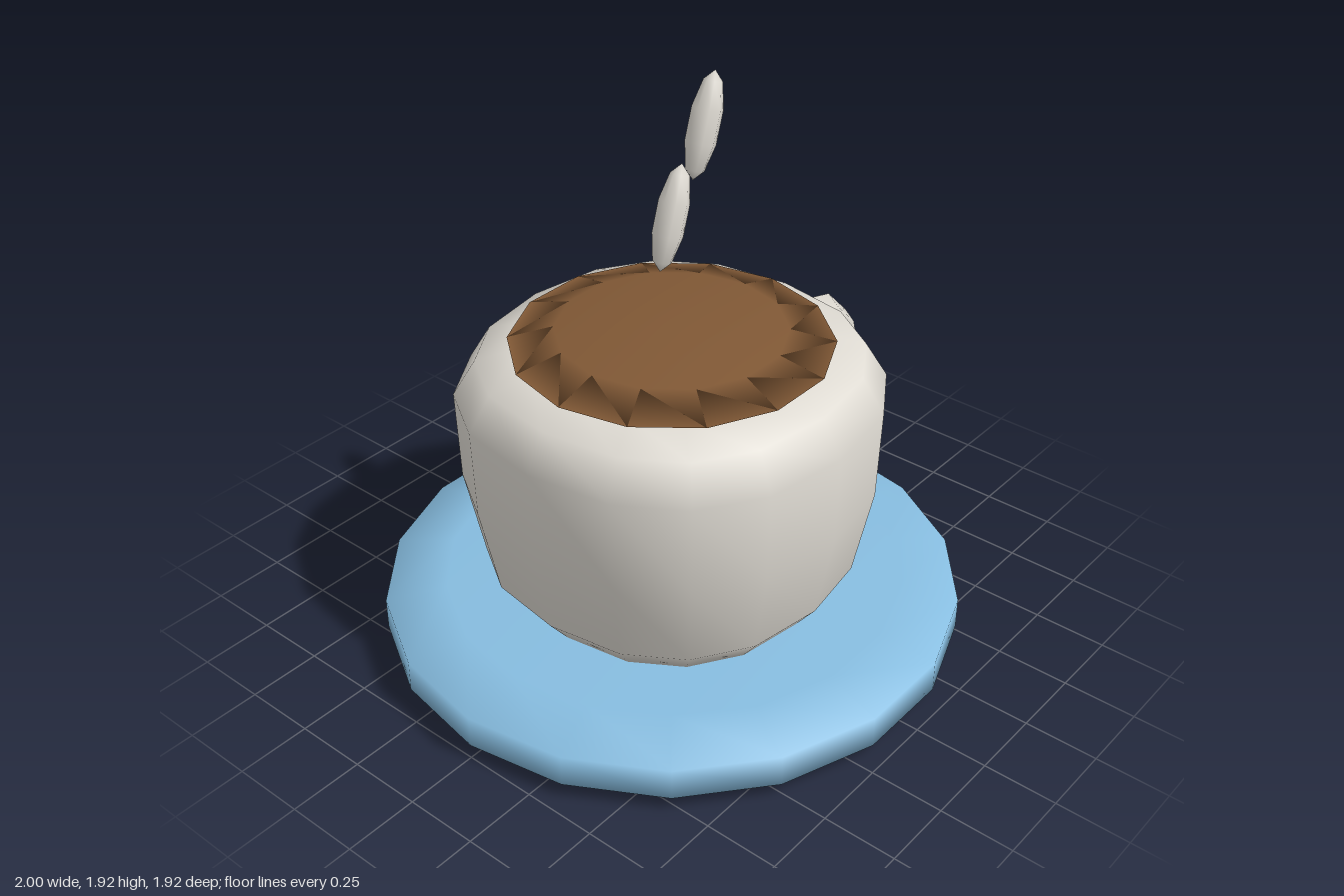
import * as THREE from 'three';
import { mergeVertices } from 'three/addons/utils/BufferGeometryUtils.js';

const CX = -0.025; // axis of cup and saucer

const material = (name, color) => {
  const m = new THREE.MeshStandardMaterial({ color });
  m.name = name;
  return m;
};

// Turned solid with smooth normals and corners on the x axis.
// A power below 1 swells the round outline slightly towards a square.
function turned(profile, sides, power = 1) {
  const points = profile.map(([r, y]) => new THREE.Vector2(r, y));
  let geo = new THREE.LatheGeometry(points, sides, Math.PI / 2);
  const pos = geo.attributes.position;
  const swell = (v, r) => Math.sign(v) * r * Math.pow(Math.abs(v) / r, power);
  for (let i = 0; i < pos.count; i++) {
    const x = pos.getX(i), z = pos.getZ(i), r = Math.hypot(x, z);
    if (r > 1e-5) {
      pos.setX(i, swell(x, r));
      pos.setZ(i, swell(z, r));
    }
  }
  geo.deleteAttribute('uv');
  geo.deleteAttribute('normal');
  geo = mergeVertices(geo, 1e-4);
  geo.computeVertexNormals();
  return geo;
}

export function createModel() {
  const group = new THREE.Group();
  const china = material('offWhite', 0xdfdbd3);
  const blue = material('lightBlue', 0x87bde0);
  const brown = material('coffeeBrown', 0x805835);

  const add = (name, geo, mat, x = CX, y = 0) => {
    const mesh = new THREE.Mesh(geo, mat);
    mesh.name = name;
    mesh.position.set(x, y, 0);
    group.add(mesh);
    return mesh;
  };

  // Saucer: thick disc with bevelled edges
  add('saucer', turned([
    [0, 0], [0.78, 0.015], [0.975, 0.05], [0.975, 0.16], [0.77, 0.193], [0, 0.2],
  ], 18), blue);

  // Cup: round body drawn in at foot and rim
  add('cup', turned([
    [0, 0.19], [0.525, 0.195], [0.6, 0.29], [0.66, 0.6], [0.67, 0.91],
    [0.6, 1.03], [0.46, 1.073], [0, 1.075],
  ], 16, 0.873), china);

  // Coffee: shallow dome resting on the rim
  add('coffee', turned([
    [0, 1.07], [0.525, 1.078], [0.375, 1.12], [0, 1.137],
  ], 14), brown);

  // Handle: ring whose open ends sit inside the cup wall
  const handle = add('handle',
    new THREE.TorusGeometry(0.25, 0.065, 6, 8, Math.PI * 4 / 3), china, 0.68, 0.605);
  handle.rotation.z = -Math.PI * 2 / 3;

  // Steam: two slanted wisps
  [[-0.028, 1.507], [0.128, 1.76]].forEach(([x, y], i) => {
    const wisp = add(`steamWisp${i + 1}`, new THREE.SphereGeometry(1, 8, 5), china, x, y);
    wisp.scale.set(0.052, 0.172, 0.052);
    wisp.rotation.z = -0.31;
  });

  return group;
}
